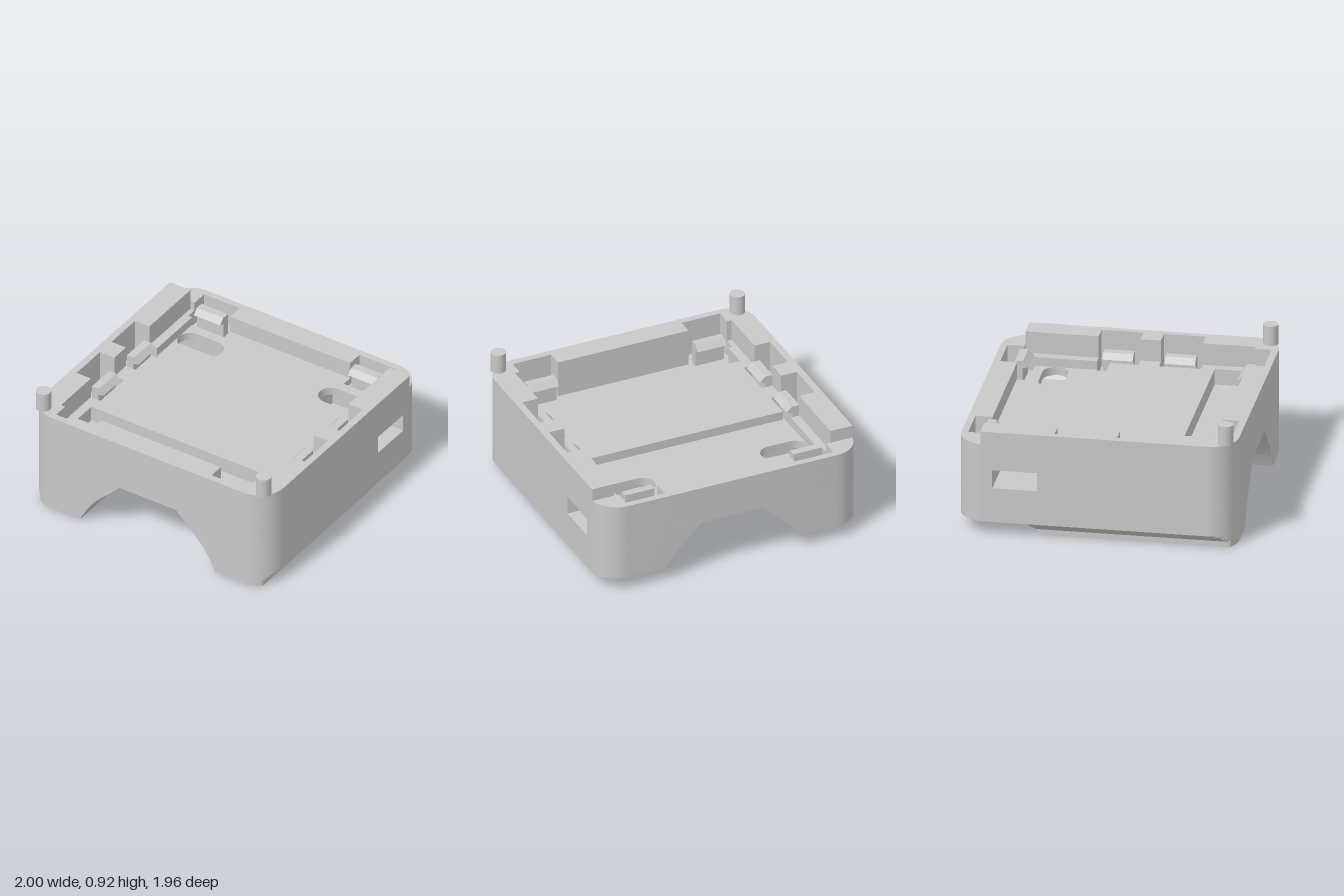
import * as THREE from 'three';
import { toCreasedNormals } from 'three/addons/utils/BufferGeometryUtils.js';

const W = 1, D = 0.98, R = 0.2;

// Points are [x, z] pairs; rotating a flat shape by -90 degrees maps its y to -z.
const vecs = (pts, sign = -1) => pts.map(([x, z]) => new THREE.Vector2(x, sign * z));
const mirror = (half) => [...half, ...half.map(([x, z]) => [-x, z]).reverse()];
const rect = (x0, x1, z0, z1) => [[x0, z0], [x1, z0], [x1, z1], [x0, z1]];
const flip = (pts) => pts.map(([x, z]) => [-x, z]);
const both = (pts) => [pts, flip(pts)];

// Quarter round at a right-hand corner, running from back to front
function corner(front) {
  const pts = [], n = 12;
  for (let i = 0; i <= n; i++) {
    const t = (front ? i / n : i / n - 1) * Math.PI / 2;
    pts.push([W - R + R * Math.cos(t), (front ? D - R : R - D) + R * Math.sin(t)]);
  }
  return pts;
}

// Cable channel cut into the side wall
const notch = [[W, -0.727], [0.41, -0.727], [0.41, -0.411], [W, -0.411]];
const rightEdge = (cut) => [...corner(false), ...(cut ? notch : []), ...corner(true)];

function oblong(cx, cz, length, r) {
  const pts = [], n = 12;
  for (const s of [1, -1]) {
    for (let i = 0; i <= n; i++) {
      const t = -Math.PI / 2 + Math.PI * i / n;
      pts.push([cx + s * (length / 2 - r + r * Math.cos(t)), cz + s * r * Math.sin(t)]);
    }
  }
  return pts;
}

// Horizontal slab between two heights; outline runs one way and holes the other
function slab(outline, holes, y0, y1) {
  const wind = (pts, clockwise) => {
    const v = vecs(pts);
    return THREE.ShapeUtils.isClockWise(v) === clockwise ? v : v.reverse();
  };
  const shape = new THREE.Shape(wind(outline, false));
  shape.holes = holes.map((h) => new THREE.Path(wind(h, true)));
  const geo = new THREE.ExtrudeGeometry(shape, { depth: y1 - y0, bevelEnabled: false });
  geo.rotateX(-Math.PI / 2).translate(0, y0, 0);
  return toCreasedNormals(geo, 0.5);
}

// Walls through rings of equal length: [{ y, pts }]
function loft(rings) {
  const pos = [];
  for (let k = 0; k < rings.length - 1; k++) {
    const a = rings[k], b = rings[k + 1], n = a.pts.length;
    for (let i = 0; i < n; i++) {
      const j = (i + 1) % n;
      const v = (r, m) => [r.pts[m][0], r.y, r.pts[m][1]];
      pos.push(...v(a, i), ...v(b, i), ...v(a, j), ...v(a, j), ...v(b, i), ...v(b, j));
    }
  }
  const geo = new THREE.BufferGeometry();
  geo.setAttribute('position', new THREE.Float32BufferAttribute(pos, 3));
  return toCreasedNormals(geo, 0.5);
}

// Flat cap facing up or down
function cap(pts, y, up, holes = []) {
  const sign = up ? -1 : 1;
  const shape = new THREE.Shape(vecs(pts, sign));
  shape.holes = holes.map((h) => new THREE.Path(vecs(h, sign)));
  return new THREE.ShapeGeometry(shape).rotateX(sign * Math.PI / 2).translate(0, y, 0);
}

// Half width of the tunnel at a given height
const ARCH = [[0, 0.563], [0.05, 0.538], [0.1, 0.51], [0.16, 0.471], [0.22, 0.42], [0.4, 0.235]];
function archX(y) {
  let i = 0;
  while (i < ARCH.length - 2 && y > ARCH[i + 1][0]) i++;
  const [y0, x0] = ARCH[i], [y1, x1] = ARCH[i + 1];
  return x0 + (x1 - x0) * (y - y0) / (y1 - y0);
}

export function createModel() {
  const model = new THREE.Group();
  const grey = new THREE.MeshStandardMaterial({ color: 0xc8c8c8 });
  const add = (name, geo) => {
    const mesh = new THREE.Mesh(geo, grey);
    mesh.name = name;
    model.add(mesh);
    return mesh;
  };

  // Lower body and feet on each side of the tunnel
  for (const s of [1, -1]) {
    const side = s > 0 ? 'left' : 'right';
    const turn = (pts) => (s > 0 ? pts : flip(pts).reverse());
    const bodyRing = (y, cut) => ({
      y, pts: turn([[archX(y), -D], ...rightEdge(cut), [archX(y), D]]),
    });
    const low = [0.1, 0.16, 0.22, 0.355].map((y) => bodyRing(y, false));
    const high = [0.355, 0.4].map((y) => bodyRing(y, true));
    add(side + 'LowerWall', loft(low));
    add(side + 'Underside', cap(low[0].pts, 0.1, false));
    add(side + 'ChannelFloor', cap(low[3].pts, 0.355, true));
    add(side + 'ChannelWall', loft(high));

    // Foot with sloped rear end and chamfered outer edge
    const foot = [0, 0.04, 0.055, 0.07, 0.085, 0.1].map((y) => {
      const clip = 0.93 + 0.07 * Math.max(0, y - 0.04) / 0.06, rear = -0.385 - 1.05 * y;
      return {
        y, pts: turn([[archX(y), rear], [clip, rear],
          ...corner(true).map(([x, z]) => [Math.min(x, clip), z]), [archX(y), D]]),
      };
    });
    const slot = turn(rect(0.72, 0.785, 0.12, 0.87));
    add(side + 'Foot', loft(foot));
    add(side + 'FootSole', cap(foot[0].pts, 0, false, [slot]));
    const inner = [...slot].reverse();
    add(side + 'FootSlot', loft([{ y: 0, pts: inner }, { y: 0.1, pts: inner }]));
  }

  // Tray built up in slabs
  const outline = mirror(rightEdge(false));
  const cableHoles = both(oblong(0.587, -0.573, 0.355, 0.09));
  const frontPocket = mirror([[0.5, 0.815], [0.5, 0.93], [0.795, 0.93], [0.795, 0.73],
    [0.765, 0.73], [0.765, 0.535]]);
  const frontSidePockets = both(rect(0.75, 0.95, 0.145, 0.44));
  const backSidePockets = both(rect(0.75, 0.95, -0.295, 0));
  const backPockets = both(rect(0.5, 0.795, -0.932, -0.735));
  const backRecess = mirror([[0.5, -0.815], [0.5, -0.932], [0.795, -0.932], [0.795, -0.735],
    [0.765, -0.735], [0.765, -0.295], [0.95, -0.295], [0.95, 0], [0.75, 0], [0.75, -0.2]]);
  const rimInside = [[0.83, -0.812], [0.83, -0.295], [0.95, -0.295], [0.95, 0], [0.83, 0],
    [0.83, 0.145], [0.95, 0.145], [0.95, 0.44], [0.83, 0.44], [0.83, 0.815],
    [0.795, 0.815], [0.795, 0.93], [0.5, 0.93], [0.5, 0.815]];
  const cavity = mirror([[0.5, -0.812], [0.5, -0.932], [0.795, -0.932], [0.795, -0.812], ...rimInside]);

  add('channelLayer', slab(mirror(rightEdge(true)), [], 0.4, 0.49));
  add('trayBase', slab(outline, cableHoles, 0.49, 0.5));
  add('trayLowerFloor', slab(outline,
    [...cableHoles, frontPocket, ...frontSidePockets, ...backSidePockets, ...backPockets], 0.5, 0.55));
  add('trayUpperFloor', slab(outline, [frontPocket, backRecess, ...frontSidePockets], 0.55, 0.615));
  add('trayLip', slab(outline, [cavity], 0.615, 0.68));

  // Raised rim, open at the back
  const outer = [[0.997, -0.812], [W, R - D], ...corner(true)].reverse();
  const rim = [...rimInside, ...flip(rimInside).reverse(), ...flip(outer).reverse(), ...outer];
  add('raisedRim', slab(rim, [], 0.68, 0.775));

  // Snap clips: local +x points into the tray
  const hook = new THREE.Shape([[0, 0.5], [0.055, 0.5], [0.055, 0.62], [0.098, 0.635], [0.058, 0.675], [0, 0.675]]
    .map(([x, y]) => new THREE.Vector2(x, y)));
  const clip = (name, x, z, angle, length) => {
    const geo = new THREE.ExtrudeGeometry(hook, { depth: length, bevelEnabled: false });
    const mesh = add(name, geo.translate(0, 0, -length / 2));
    mesh.position.set(x, 0, z);
    mesh.rotation.y = angle;
  };
  for (const s of [1, -1]) {
    clip('backClip', s * 0.643, -0.836, -Math.PI / 2, 0.22);
    clip('frontClip', s * 0.643, 0.83, Math.PI / 2, 0.22);
    for (const z of [-0.15, 0.29]) clip('sideClip', s * 0.85, z, s > 0 ? Math.PI : 0, 0.215);

    // Locating pegs on the front corners
    const peg = add('peg', new THREE.CylinderGeometry(0.054, 0.054, 0.147, 32));
    peg.position.set(s * 0.917, 0.8465, 0.905);
  }
  return model;
}
